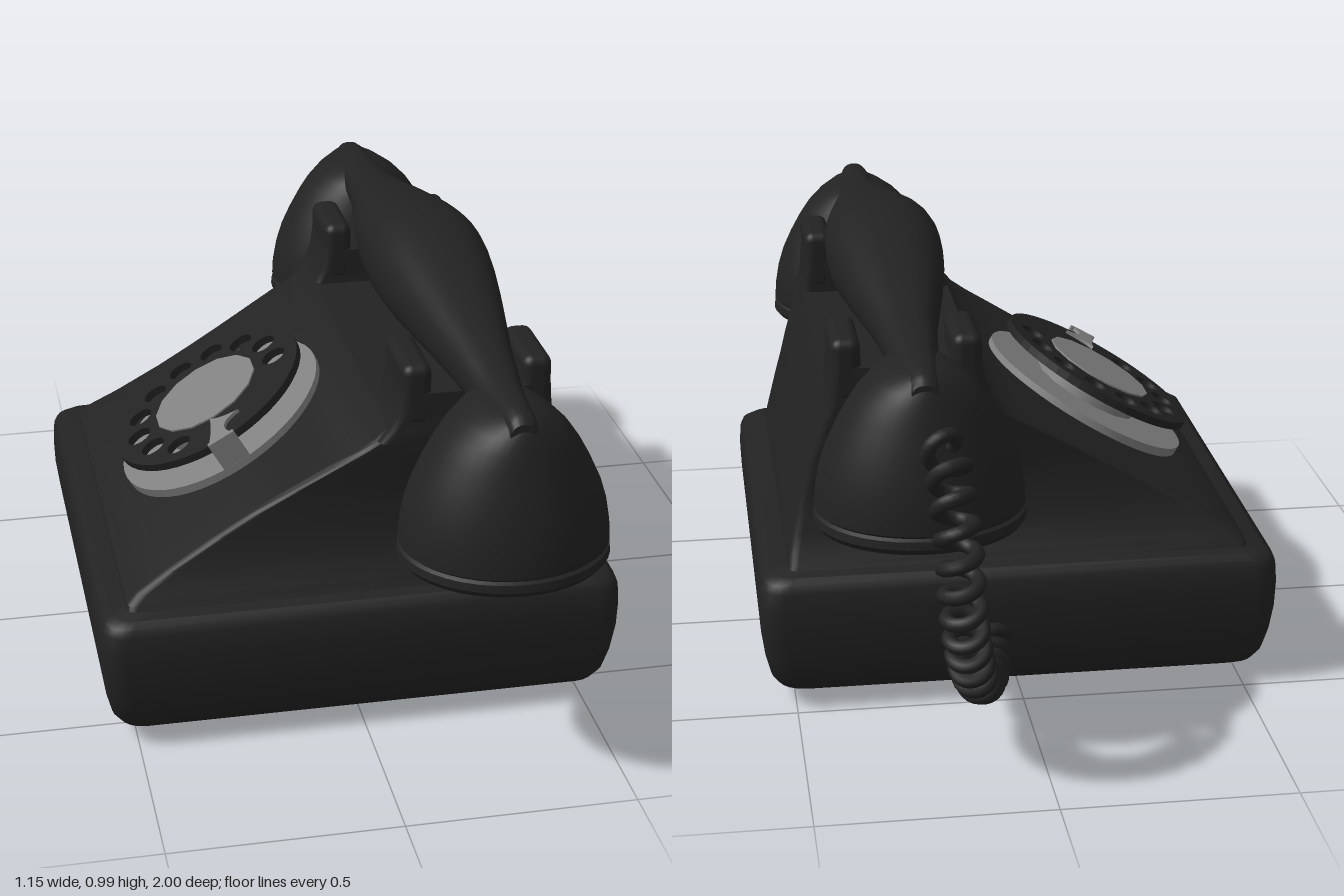
import * as THREE from 'three';
import { toCreasedNormals } from 'three/addons/utils/BufferGeometryUtils.js';
import { RoundedBoxGeometry } from 'three/addons/geometries/RoundedBoxGeometry.js';

const black = new THREE.MeshStandardMaterial({ color: 0x222222 });
black.name = 'black bakelite';
const grey = new THREE.MeshStandardMaterial({ color: 0x808080 });
grey.name = 'grey metal';

// Skin over a list of closed rings (arrays of [x, y, z]), capped at both ends
function loft(rings, crease = 0.6) {
  const n = rings[0].length, pos = rings.flat(2), index = [];
  for (let i = 0; i < rings.length - 1; i++) {
    for (let j = 0; j < n; j++) {
      const k = (j + 1) % n, a = i * n + j, b = i * n + k, c = b + n, d = a + n;
      index.push(a, b, c, a, c, d);
    }
  }
  [0, rings.length - 1].forEach((r, end) => {
    const centre = pos.length / 3;
    for (let c = 0; c < 3; c++) pos.push(rings[r].reduce((s, p) => s + p[c], 0) / n);
    for (let j = 0; j < n; j++) {
      const a = r * n + j, b = r * n + (j + 1) % n;
      if (end) index.push(centre, a, b); else index.push(centre, b, a);
    }
  });
  const g = new THREE.BufferGeometry();
  g.setAttribute('position', new THREE.Float32BufferAttribute(pos, 3));
  g.setIndex(index);
  return toCreasedNormals(g, crease);
}

// Horizontal rounded rectangle at height y
function roundRect(y, x0, x1, z0, z1, r) {
  const out = [];
  for (let q = 0; q < 4; q++) {
    const cx = q === 0 || q === 3 ? x1 - r : x0 + r;
    const cz = q < 2 ? z0 + r : z1 - r;
    for (let s = 0; s <= 5; s++) {
      const a = (q + s / 5) * Math.PI / 2;
      out.push([cx + r * Math.cos(a), y, cz - r * Math.sin(a)]);
    }
  }
  return out;
}

// Smooth samples through short key rows of three numbers
const smooth = (keys, n) => new THREE.CatmullRomCurve3(
  keys.map(k => new THREE.Vector3(...k)), false, 'centripetal').getPoints(n);

const angles = n => Array.from({ length: n }, (_, i) => i / n * Math.PI * 2);

export function createModel() {
  const model = new THREE.Group();
  model.name = 'telephone';
  const add = (parent, name, geometry, material, x = 0, y = 0, z = 0) => {
    const m = new THREE.Mesh(geometry, material);
    m.name = name;
    m.position.set(x, y, z);
    parent.add(m);
    return m;
  };
  const midZ = 0.06, handX = 0.243;

  // Base tray with softly bulging sides: [height, inset]
  const baseRows = [[0.035, 0.055], [0.045, 0.037], [0.07, 0.022], [0.12, 0.01], [0.18, 0.002],
    [0.24, 0], [0.285, 0.003], [0.303, 0.01], [0.315, 0.026]];
  add(model, 'base', loft(baseRows.map(([y, d]) =>
    roundRect(y, -0.575 + d, 0.575 - d, midZ - 0.57 + d, midZ + 0.57 - d, 0.055))), black);

  // Feet
  for (const x of [-0.33, 0.325]) for (const z of [-0.26, 0.42])
    add(model, 'foot', new THREE.CylinderGeometry(0.085, 0.085, 0.05, 24), black, x, 0.025, z);

  // Body: [height, low-slope x, rear x, half width]
  const bodyRows = [[0.30, -0.515, 0.512, 0.515], [0.325, -0.511, 0.508, 0.503], [0.345, -0.49, 0.505, 0.49],
    [0.385, -0.425, 0.497, 0.473], [0.45, -0.317, 0.482, 0.462], [0.5, -0.234, 0.468, 0.462],
    [0.55, -0.15, 0.455, 0.468], [0.6, -0.066, 0.44, 0.477], [0.635, -0.006, 0.43, 0.484],
    [0.66, 0.031, 0.423, 0.488], [0.69, 0.058, 0.415, 0.492]];
  add(model, 'body', loft(bodyRows.map(([y, x0, x1, w]) =>
    roundRect(y, x0, x1, midZ - w, midZ + w, 0.022)), 0.5), black);

  // Cradle: a saddle and two prongs at each end
  for (const s of [-1, 1]) {
    const z = midZ + s * 0.413;
    add(model, 'saddle', loft([[0.66, 0.035, 0.423, 0.09], [0.69, 0.058, 0.415, 0.092], [0.725, 0.074, 0.41, 0.094],
      [0.775, 0.082, 0.406, 0.095]].map(([y, x0, x1, w]) => roundRect(y, x0, x1, z - w, z + w, 0.02))), black);
    for (const x of [0.114, 0.374])
      add(model, 'cradleProng', new RoundedBoxGeometry(0.064, 0.14, 0.19, 3, 0.022), black, x, 0.767, z);
  }

  // Handset handle: spline rows for [z, bottom, top] and [z, half width]
  const handle = smooth([[0.925, 0.80, 0.862], [0.9, 0.785, 0.877], [0.745, 0.785, 0.882], [0.62, 0.786, 0.903],
    [0.4, 0.78, 0.943], [0.18, 0.766, 0.983], [0.08, 0.764, 0.991], [-0.02, 0.766, 0.981], [-0.25, 0.78, 0.936],
    [-0.46, 0.786, 0.893], [-0.6, 0.785, 0.878], [-0.765, 0.785, 0.867], [-0.79, 0.80, 0.85]].reverse(), 48);
  const widths = [[-0.8, 0.026], [-0.75, 0.036], [-0.6, 0.05], [-0.42, 0.066], [-0.2, 0.105], [-0.04, 0.128],
    [0.08, 0.133], [0.2, 0.128], [0.36, 0.105], [0.58, 0.068], [0.75, 0.048], [0.9, 0.034], [0.94, 0.026]];
  const widthAt = z => {
    const i = Math.max(1, widths.findIndex(w => w[0] >= z));
    const [a, wa] = widths[i - 1], [b, wb] = widths[i];
    return wa + (wb - wa) * (z - a) / (b - a);
  };
  const soft = v => Math.sign(v) * Math.abs(v) ** 0.85;
  add(model, 'handsetHandle', loft(handle.map(({ x: z, y: lo, z: hi }) => angles(28).map(a => [
    handX + widthAt(z) * soft(Math.cos(a)), (lo + hi) / 2 + (hi - lo) / 2 * soft(Math.sin(a)), z])), 0.8), black);

  // Handset cups with a grooved rim: [height, x radius, z radius]
  const cupRows = [[0.51, 0.2, 0.178], [0.512, 0.212, 0.188], [0.525, 0.222, 0.197], [0.542, 0.22, 0.195],
    [0.547, 0.212, 0.188], [0.553, 0.219, 0.194], [0.59, 0.217, 0.193], [0.635, 0.209, 0.187], [0.68, 0.195, 0.178],
    [0.725, 0.174, 0.167], [0.765, 0.152, 0.156], [0.8, 0.128, 0.146], [0.83, 0.098, 0.135],
    [0.85, 0.066, 0.123], [0.862, 0.035, 0.105]];
  const cup = loft(cupRows.map(([y, rx, rz]) =>
    angles(40).map(a => [rx * Math.cos(a), y, -rz * Math.sin(a)])), 0.7);
  add(model, 'mouthpiece', cup, black, handX, 0, 0.8);
  add(model, 'earpiece', cup, black, handX, 0, -0.66);

  // Rotary dial, tilted with the sloping face
  const dial = new THREE.Group();
  dial.name = 'dial';
  dial.position.set(-0.222, 0.506, midZ - 0.003);
  dial.rotation.z = Math.PI / 6;
  model.add(dial);
  add(dial, 'dialPlate', new THREE.CylinderGeometry(0.257, 0.257, 0.03, 48), grey, 0, 0.004, 0);
  add(dial, 'dialHub', new THREE.CylinderGeometry(0.13, 0.13, 0.084, 14), grey, 0, 0.042, 0);

  // Finger wheel with ten holes
  const wheel = new THREE.Shape().absarc(0, 0, 0.24, 0, Math.PI * 2);
  for (let i = 0; i < 10; i++) {
    const a = THREE.MathUtils.degToRad(6 - 27 * i);
    wheel.holes.push(new THREE.Path().absarc(0.18 * Math.cos(a), -0.18 * Math.sin(a), 0.029, 0, Math.PI * 2, true));
  }
  const wheelGeo = new THREE.ExtrudeGeometry(wheel, { depth: 0.018, bevelEnabled: false, curveSegments: 24 });
  wheelGeo.rotateX(-Math.PI / 2);
  add(dial, 'fingerWheel', wheelGeo, black, 0, 0.062, 0);

  // Finger stop: post beside the wheel and a hooked arm over it
  add(dial, 'fingerStopPost', new THREE.BoxGeometry(0.065, 0.085, 0.012), grey, 0, 0.0475, 0.25);
  const arm = new THREE.Shape();
  arm.moveTo(-0.032, -0.256);
  arm.lineTo(0.032, -0.256);
  arm.quadraticCurveTo(0.01, -0.225, 0.02, -0.2);
  arm.quadraticCurveTo(0.03, -0.18, 0.06, -0.175);
  arm.quadraticCurveTo(0.005, -0.165, -0.008, -0.14);
  arm.quadraticCurveTo(-0.012, -0.2, -0.032, -0.256);
  const armGeo = new THREE.ExtrudeGeometry(arm, { depth: 0.008, bevelEnabled: false });
  armGeo.rotateX(-Math.PI / 2);
  add(dial, 'fingerStopArm', armGeo, grey, 0, 0.082, 0);

  // Coiled cord from the base to the earpiece
  const path = new THREE.CatmullRomCurve3([[0.07, 0.165, -0.49], [0.09, 0.148, -0.6], [0.125, 0.17, -0.74],
    [0.165, 0.28, -0.87], [0.19, 0.44, -0.945], [0.2, 0.6, -0.935], [0.21, 0.72, -0.85],
    [0.22, 0.745, -0.79]].map(p => new THREE.Vector3(...p)));
  const turns = 17, steps = turns * 12, coil = [];
  const side = new THREE.Vector3(1, 0, 0);
  for (let i = 0; i <= steps; i++) {
    const t = i / steps, a = t * turns * Math.PI * 2;
    const r = 0.036 * Math.min(1, t * 25, (1 - t) * 25);
    const up = path.getTangentAt(t).cross(side).normalize();
    coil.push(path.getPointAt(t).addScaledVector(side, r * Math.cos(a)).addScaledVector(up, r * Math.sin(a)));
  }
  add(model, 'coiledCord', new THREE.TubeGeometry(new THREE.CatmullRomCurve3(coil), steps * 2, 0.0155, 8), black);

  return model;
}
